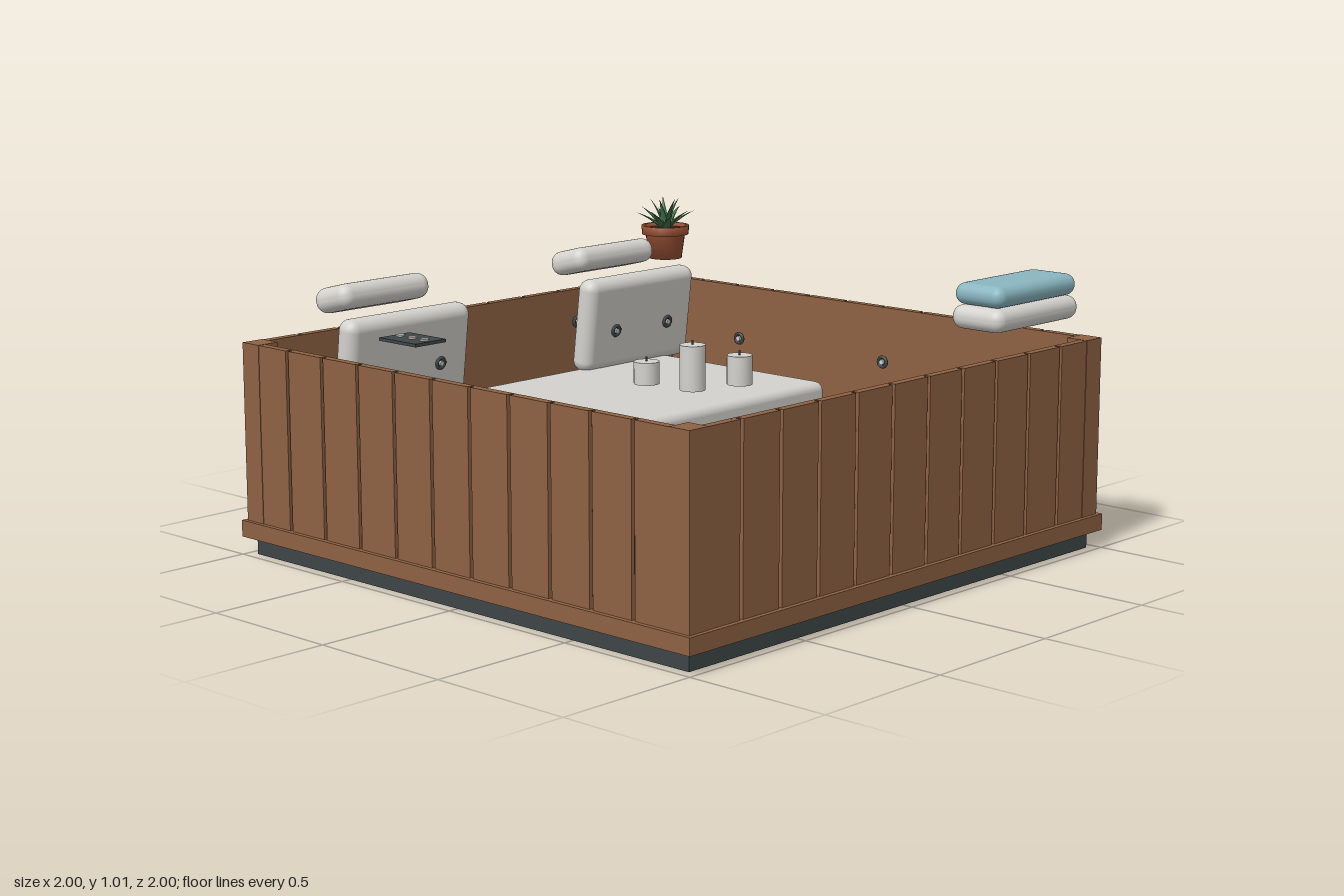
import * as THREE from 'three';
import { RoundedBoxGeometry } from 'three/addons/geometries/RoundedBoxGeometry.js';

const mat = (name, color, side = THREE.FrontSide) => {
  const m = new THREE.MeshStandardMaterial({ color, side });
  m.name = name;
  return m;
};

export function createModel() {
  const model = new THREE.Group();
  model.name = 'hotTub';
  const wood = mat('cedar', 0x8f6243);
  const gap = mat('darkCedar', 0x38271b);
  const slate = mat('slate', 0x3e4648);
  const cream = mat('cream', 0xd4d2cd);
  const water = mat('water', 0x6cb4c0, THREE.DoubleSide);
  const towelBlue = mat('towelBlue', 0x8ab6c1);
  const clay = mat('terracotta', 0x9a5235);
  const soil = mat('soil', 0x33261d);
  const leafGreen = mat('leafGreen', 0x41704a);
  leafGreen.flatShading = true;

  const add = (name, geo, material, x = 0, y = 0, z = 0, parent = model) => {
    const m = new THREE.Mesh(geo, material);
    m.name = name;
    m.position.set(x, y, z);
    parent.add(m);
    return m;
  };
  const group = (name, x = 0, y = 0, z = 0) => {
    const g = new THREE.Group();
    g.name = name;
    g.position.set(x, y, z);
    model.add(g);
    return g;
  };
  const box = (w, h, d) => new THREE.BoxGeometry(w, h, d);
  const soft = (w, h, d, r) => new RoundedBoxGeometry(w, h, d, 4, r);

  // Base pan
  add('base', box(1.93, 0.06, 1.93), slate, 0, 0.03, 0);

  // Four planked walls with a skirting trim
  for (let s = 0; s < 4; s++) {
    const wall = group('wall');
    wall.rotation.y = (s * Math.PI) / 2;
    add('wallLining', box(1.93, 0.645, 0.01), wood, 0, 0.3825, 0.96, wall);
    add('plankGaps', box(1.93, 0.585, 0.006), gap, 0, 0.41, 0.968, wall);
    for (let i = -5; i <= 5; i++)
      add('plank', box(0.157, 0.59, 0.02), wood, i * 0.17, 0.41, 0.974, wall);
    add('skirting', box(2, 0.055, 0.03), wood, 0, 0.0875, 0.985, wall);
    add('cornerPost', box(0.08, 0.645, 0.08), wood, 0.946, 0.3835, 0.946, wall);
  }

  // Water surface with rounded corners
  const w = 0.75, r = 0.23;
  const pool = new THREE.Shape();
  pool.moveTo(-w + r, -w);
  pool.lineTo(w - r, -w).quadraticCurveTo(w - 0.02, -w + 0.02, w, -w + r);
  pool.lineTo(w, w - r).quadraticCurveTo(w - 0.02, w - 0.02, w - r, w);
  pool.lineTo(-w + r, w).quadraticCurveTo(-w + 0.02, w - 0.02, -w, w - r);
  pool.lineTo(-w, -w + r).quadraticCurveTo(-w + 0.02, -w + 0.02, -w + r, -w);
  add('water', new THREE.ShapeGeometry(pool, 12), water, 0, 0.24, 0).rotation.x = -Math.PI / 2;

  // Foam bubbles: x, z, radius
  const bubble = new THREE.SphereGeometry(1, 8, 6);
  [[-0.64, 0.28, 0.04], [-0.56, 0.4, 0.04], [-0.52, 0.31, 0.028], [-0.5, 0.255, 0.03],
    [-0.46, 0.235, 0.026], [-0.575, 0.33, 0.018], [-0.69, 0.575, 0.04], [-0.77, 0.5, 0.022],
    [-0.61, 0.53, 0.016], [-0.13, 0.55, 0.02], [0.11, 0.47, 0.02], [0.095, 0.525, 0.03],
    [0.08, 0.545, 0.022], [0.455, 0.255, 0.038], [0.61, 0.275, 0.035], [0.64, 0.25, 0.02],
    [0.645, 0.36, 0.038], [0.505, 0.4, 0.025], [0.56, 0.39, 0.02], [0.64, 0.415, 0.018],
    [0.69, 0.59, 0.037], [0.565, 0.595, 0.025]].forEach(([x, z, s]) => {
    add('foamBubble', bubble, cream, x, 0.242, z).scale.set(s, s * 0.5, s);
  });

  // Lounge bench
  add('bench', soft(1.44, 0.37, 0.795, 0.03), cream, 0, 0.285, -0.358);

  // Massage jet facing +z
  const jet = (x, y, z, turn, parent = model) => {
    const g = new THREE.Group();
    g.name = 'jet';
    g.position.set(x, y, z);
    g.rotation.y = turn;
    parent.add(g);
    add('jetRing', new THREE.TorusGeometry(0.017, 0.006, 8, 16), slate, 0, 0, 0, g);
    const nozzle = new THREE.CylinderGeometry(0.009, 0.009, 0.014, 12).rotateX(Math.PI / 2);
    add('jetNozzle', nozzle, cream, 0, 0, 0, g);
    const back = new THREE.CylinderGeometry(0.016, 0.016, 0.006, 16).rotateX(Math.PI / 2);
    add('jetPlate', back, slate, 0, 0, -0.003, g);
    return g;
  };

  for (const s of [-1, 1]) {
    // Backrests with jets, and pillows behind them
    const rest = group('backrest', s * 0.545, 0.625, -0.71);
    rest.rotation.x = 0.12;
    add('backrestPad', soft(0.53, 0.33, 0.085, 0.038), cream, 0, 0, 0, rest);
    for (const j of [-0.13, 0.13]) jet(j, -0.02, 0.045, 0, rest);
    add('pillow', soft(0.385, 0.085, 0.172, 0.04), cream, s * 0.54, 0.828, -0.858).rotation.x = -0.25;

    // Wall jets
    jet(s * 0.74, 0.565, -0.38, -s * Math.PI / 2);
    jet(s * 0.74, 0.565, 0.27, -s * Math.PI / 2);
    jet(s * 0.545, 0.39, 0.745, Math.PI);
    const rear = jet(s * 0.33, 0.63, -0.775, 0);
    const lens = new THREE.CylinderGeometry(0.013, 0.013, 0.005, 12).rotateX(Math.PI / 2);
    add('jetLens', lens, water, 0, 0, -0.007, rear);
  }

  // Folded towels
  add('lowerTowel', soft(0.435, 0.077, 0.2, 0.036), cream, 0.648, 0.823, 0.886);
  add('upperTowel', soft(0.42, 0.07, 0.19, 0.034), towelBlue, 0.648, 0.897, 0.886);

  // Candles: x, z, height
  [[-0.87, 0.71, 0.065], [-0.847, 0.868, 0.13], [-0.695, 0.91, 0.085]].forEach(([x, z, h]) => {
    const c = group('candle', x, 0.785, z);
    add('candleWax', new THREE.CylinderGeometry(0.037, 0.037, h, 20), cream, 0, h / 2, 0, c);
    add('candleWick', new THREE.CylinderGeometry(0.003, 0.003, 0.014, 6), slate, 0, h + 0.006, 0, c);
  });

  // Control panel
  add('controlPanel', box(0.125, 0.01, 0.168), slate, -0.885, 0.79, -0.275);
  for (const z of [-0.33, -0.275, -0.22])
    add('button', new THREE.CylinderGeometry(0.014, 0.014, 0.006, 14), cream, -0.885, 0.797, z);

  // Potted succulent
  const plant = group('plant', 0.885, 0.785, -0.875);
  const pot = [[0, 0], [0.06, 0], [0.072, 0.088], [0.085, 0.088], [0.087, 0.12], [0.074, 0.12], [0.072, 0.105]];
  add('pot', new THREE.LatheGeometry(pot.map(p => new THREE.Vector2(...p)), 24), clay, 0, 0, 0, plant);
  add('soil', new THREE.CylinderGeometry(0.073, 0.073, 0.006, 20), soil, 0, 0.104, 0, plant);
  const leaf = (len, tilt, turn) => {
    const g = new THREE.ConeGeometry(0.021, len, 6, 5).translate(0, len / 2, 0);
    const p = g.attributes.position;
    // Flatten the blade and bend it outward along its length
    for (let i = 0; i < p.count; i++) {
      const t = p.getY(i) / len;
      p.setZ(i, p.getZ(i) * 0.4 + 0.025 * t * t);
    }
    g.computeVertexNormals();
    const m = add('leaf', g, leafGreen, 0, 0.103, 0, plant);
    m.rotation.set(tilt, turn, 0, 'YXZ');
  };
  for (let i = 0; i < 8; i++) leaf(0.125, 0.72 + 0.1 * (i % 2), (i * Math.PI) / 4 + 0.2);
  for (let i = 0; i < 5; i++) leaf(0.125, 0.2 + 0.06 * (i % 2), (i * Math.PI * 2) / 5);

  return model;
}
